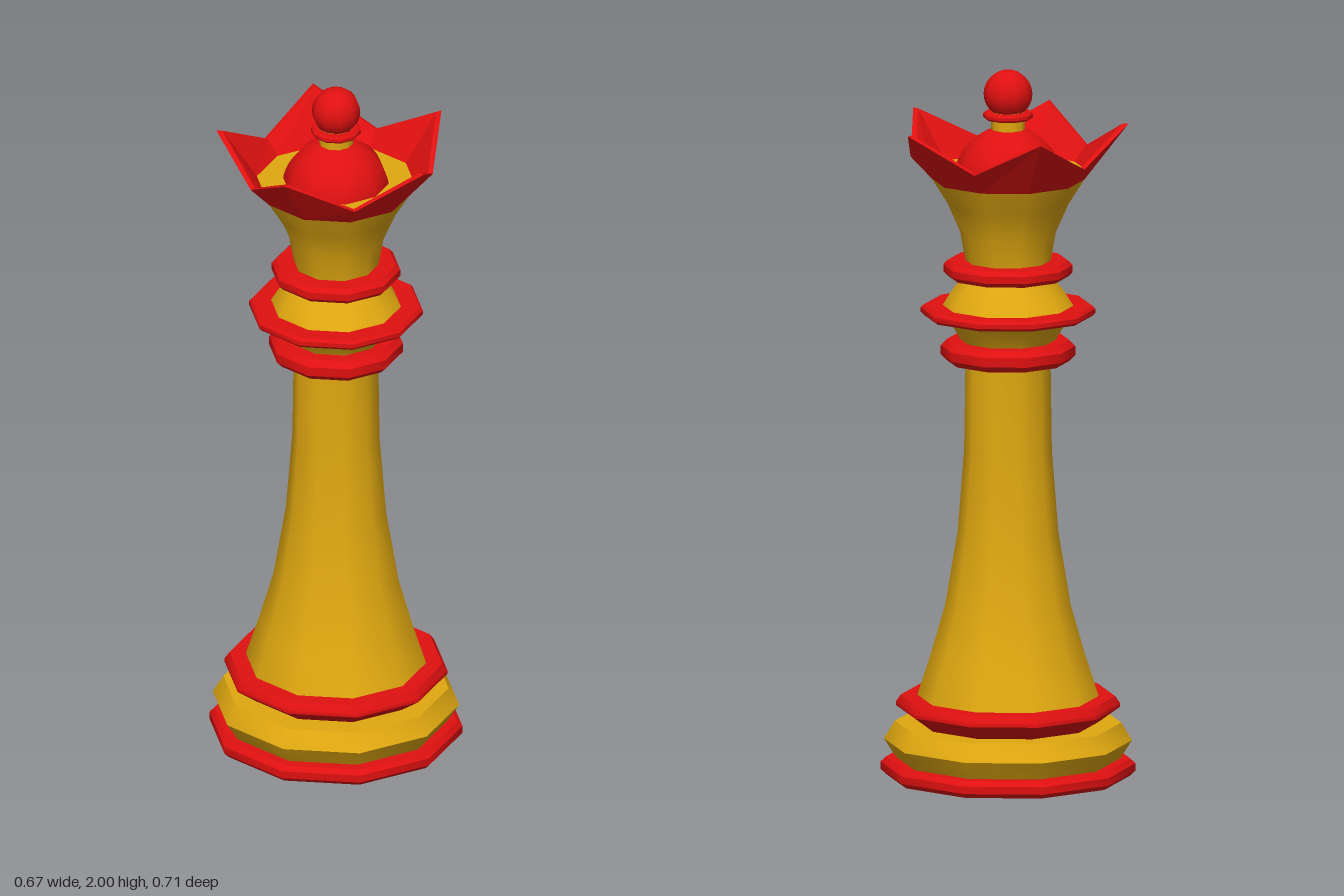
import * as THREE from 'three';
import { toCreasedNormals } from 'three/addons/utils/BufferGeometryUtils.js';

const SIDES = 10;
const red = new THREE.MeshStandardMaterial({ color: 0xe01010 });
const gold = new THREE.MeshStandardMaterial({ color: 0xe0a810 });
const crownRed = new THREE.MeshStandardMaterial({ color: 0xe01010, flatShading: true, side: THREE.DoubleSide });

// Ten-sided turned part; profile is [radius, y] from bottom to top
function turned(name, material, profile) {
  const lathe = new THREE.LatheGeometry(profile.map(([r, y]) => new THREE.Vector2(r, y)), SIDES);
  const mesh = new THREE.Mesh(toCreasedNormals(lathe, 0.72), material);
  mesh.name = name;
  return mesh;
}

// Flat ring with softened edges
function ring(name, r, y0, y1) {
  const b = (y1 - y0) * 0.28;
  return turned(name, red, [
    [0, y0], [r - b, y0], [r, y0 + b], [r, y1 - b], [r - b, y1], [0, y1],
  ]);
}

// Part of a sphere on the same ten sides
function ball(name, r, y, arc = Math.PI) {
  const geometry = new THREE.SphereGeometry(r, SIDES, 12, Math.PI / 2, Math.PI * 2, 0, arc);
  const mesh = new THREE.Mesh(geometry, red);
  mesh.position.y = y;
  mesh.name = name;
  return mesh;
}

// Flared wall with five points: loops for outer foot, outer rim, inner rim, inner foot
function crown() {
  const loops = [
    { tip: [0.212, 1.69], dip: [0.212, 1.69] },
    { tip: [0.335, 1.85], dip: [0.271, 1.752] },
    { tip: [0.318, 1.85], dip: [0.258, 1.755] },
    { tip: [0.222, 1.715], dip: [0.222, 1.715] },
  ];
  const positions = [], index = [];
  loops.forEach((loop, k) => {
    for (let i = 0; i < SIDES; i++) {
      const [r, y] = i % 2 ? loop.dip : loop.tip;
      const a = (i / SIDES) * Math.PI * 2;
      positions.push(r * Math.sin(a), y, r * Math.cos(a));
      if (k === loops.length - 1) continue;
      const p = k * SIDES + i, q = k * SIDES + ((i + 1) % SIDES);
      index.push(p, q, q + SIDES, p, q + SIDES, p + SIDES);
    }
  });
  const geometry = new THREE.BufferGeometry();
  geometry.setAttribute('position', new THREE.Float32BufferAttribute(positions, 3));
  geometry.setIndex(index);
  geometry.computeVertexNormals();
  const mesh = new THREE.Mesh(geometry, crownRed);
  mesh.name = 'crown';
  return mesh;
}

export function createModel() {
  const group = new THREE.Group();
  group.name = 'chessQueen';
  group.add(
    // Foot
    ring('bottomRing', 0.354, 0, 0.048),
    turned('base', gold, [[0, 0.045], [0.31, 0.045], [0.345, 0.1], [0.315, 0.15], [0, 0.15]]),
    turned('baseCollar', red, [
      [0, 0.15], [0.25, 0.15], [0.312, 0.195], [0.312, 0.205], [0.298, 0.225], [0, 0.225],
    ]),
    // Tapering stem
    turned('stem', gold, [
      [0.254, 0.22], [0.215, 0.34], [0.175, 0.48], [0.14, 0.69], [0.122, 0.92], [0.118, 1.2],
    ]),
    // Neck with three rings
    ring('lowerCollar', 0.187, 1.175, 1.235),
    turned('neckLower', gold, [[0.13, 1.23], [0.15, 1.265], [0.187, 1.31]]),
    ring('middleCollar', 0.243, 1.304, 1.332),
    turned('neckUpper', gold, [[0.183, 1.33], [0.155, 1.375], [0.12, 1.42]]),
    ring('upperCollar', 0.18, 1.415, 1.46),
    // Flared head, closed by a floor inside the crown
    turned('head', gold, [
      [0.117, 1.45], [0.133, 1.54], [0.168, 1.62], [0.212, 1.69], [0.222, 1.714], [0, 1.714],
    ]),
    crown(),
    // Dome and finial
    ball('dome', 0.15, 1.69, Math.PI / 2),
    turned('finialStem', gold, [[0.047, 1.81], [0.047, 1.9]]),
    ring('finialRing', 0.07, 1.862, 1.882),
    ball('finialBall', 0.068, 1.932),
  );
  return group;
}
